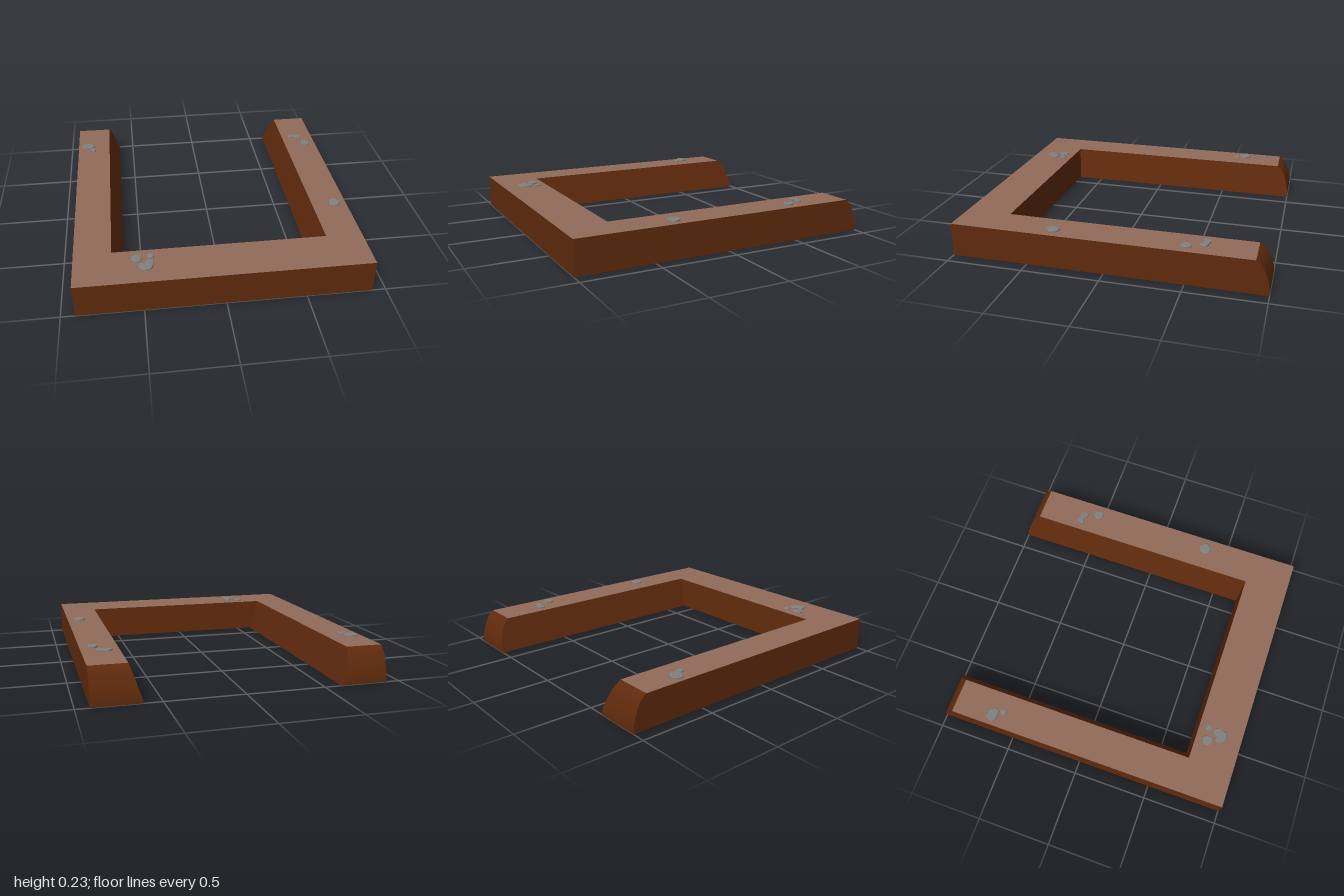
import * as THREE from 'three';

const H = 0.218, OUT = 0.915, IN_TOP = 0.68, IN_BOTTOM = 0.61;
// Rounded rear end, as [z, y] from top to ground
const END = [[-0.91, H], [-0.938, 0.194], [-0.963, 0.16], [-0.985, 0.1], [-1, 0.045], [-1, 0]];
const innerX = y => IN_BOTTOM + (IN_TOP - IN_BOTTOM) * y / H;

// Surface through rows of points, rows running downwards and points left to right
function sheet(rows, flip = false) {
  const n = rows[0].length, index = [];
  for (let r = 0; r < rows.length - 1; r++) {
    for (let i = 0; i < n - 1; i++) {
      const a = r * n + i, b = a + n;
      if (flip) index.push(a, b + 1, b, b + 1, a, a + 1);
      else index.push(a, b, b + 1, b + 1, a + 1, a);
    }
  }
  const g = new THREE.BufferGeometry();
  g.setAttribute('position', new THREE.Float32BufferAttribute(rows.flat(2), 3));
  g.setIndex(index);
  g.computeVertexNormals();
  return g;
}

// Stones: centre x, z and outline in hundredths of a unit
const ROUND = [[-3, -1], [-1, -3.2], [2, -3], [3.2, 0], [2.5, 3], [-1, 3.2], [-3, 1.5]];
const STONES = [
  [-0.845, -0.64, [[-4.2, -1.5], [-2, -3.7], [2, -3.5], [4.7, 0], [4, 3], [0, 3.5], [-4, 2]]],
  [-0.805, -0.578, ROUND, 0.65],
  [0.775, -0.6, [[-5, 0.8], [-3, -2.8], [1, -2.2], [4.8, -0.8], [4.5, 2.8], [2, 2.7], [-1, 1], [-4, 1.8]]],
  [0.835, -0.492, ROUND, 1],
  [0.835, 0.343, [[-3.7, 2.5], [-3, -3], [0, -4], [2.5, -3], [4, 0.5], [2, 3], [-1, 4]]],
  [-0.53, 0.78, ROUND, 1],
  [-0.443, 0.765, ROUND, 0.65],
  [-0.475, 0.85, [[-4.5, 0.5], [-3.8, -1.6], [-1, -2], [2, -4.8], [4.5, -3.5], [4.5, 1], [2.5, 4.2], [-2, 4.5]]],
];

function stoneGeometry(outline, scale = 1) {
  const bevel = 0.006;
  const pts = outline.map(([x, z]) => new THREE.Vector2(x, -z).multiplyScalar(0.01 * scale));
  pts.forEach(p => p.setLength(Math.max(p.length() - bevel, 0.004)));
  const shape = new THREE.Shape(new THREE.CatmullRomCurve3(
    pts.map(p => new THREE.Vector3(p.x, p.y, 0)), true).getPoints(20).slice(0, -1)
    .map(p => new THREE.Vector2(p.x, p.y)));
  return new THREE.ExtrudeGeometry(shape, {
    depth: 0.008, bevelSize: bevel, bevelThickness: 0.005, bevelSegments: 2,
  }).rotateX(-Math.PI / 2);
}

export function createModel() {
  const group = new THREE.Group();
  const mat = (name, color) => {
    const m = new THREE.MeshStandardMaterial({ color, side: THREE.DoubleSide });
    m.name = name;
    return m;
  };
  const earth = mat('dark brown', 0x5f2a0c);
  const path = mat('light brown', 0x906b58);
  const stone = mat('stone grey', 0x808080);
  const add = (name, geometry, material) => {
    const mesh = new THREE.Mesh(geometry, material);
    mesh.name = name;
    group.add(mesh);
    return mesh;
  };

  // U-shaped top surface
  const z0 = END[0][0];
  const u = new THREE.Shape([[-OUT, 1], [OUT, 1], [OUT, z0], [IN_TOP, z0], [IN_TOP, 0.7],
    [-IN_TOP, 0.7], [-IN_TOP, z0], [-OUT, z0]].map(([x, z]) => new THREE.Vector2(x, -z)));
  add('topSurface', new THREE.ShapeGeometry(u).rotateX(-Math.PI / 2).translate(0, H, 0), path);

  // Front rail walls
  add('frontWall', sheet([[[-OUT, H, 1], [OUT, H, 1]], [[-OUT, 0, 1], [OUT, 0, 1]]]), earth);
  add('frontInnerWall', sheet([
    [[IN_TOP, H, 0.7], [-IN_TOP, H, 0.7]],
    [[IN_BOTTOM, 0, 0.68], [-IN_BOTTOM, 0, 0.68]],
  ]), earth);

  // Mirrored arms: upright outer wall, sloping inner wall, rounded end; open underneath
  const edge = END.slice(0, -1);
  for (const s of [1, -1]) {
    const side = s > 0 ? 'left' : 'right';
    add(side + 'OuterWall', sheet([
      [[s * OUT, H, 1], ...edge.map(([z, y]) => [s * OUT, y, z])],
      [[s * OUT, 0, 1], ...edge.map(([z]) => [s * OUT, 0, z])],
    ], s < 0), earth);
    add(side + 'InnerWall', sheet([
      [[s * IN_TOP, H, 0.7], ...edge.map(([z, y]) => [s * innerX(y), y, z])],
      [[s * IN_BOTTOM, 0, 0.68], ...edge.map(([z]) => [s * IN_BOTTOM, 0, z])],
    ], s > 0), earth);
    add(side + 'RoundedEnd', sheet(
      END.map(([z, y]) => [[s * OUT, y, z], [s * innerX(y), y, z]]), s < 0), earth);
  }

  // Flat stones set into the top
  STONES.forEach(([x, z, outline, scale], i) => {
    add('stone' + (i + 1), stoneGeometry(outline, scale), stone).position.set(x, H - 0.001, z);
  });
  return group;
}
